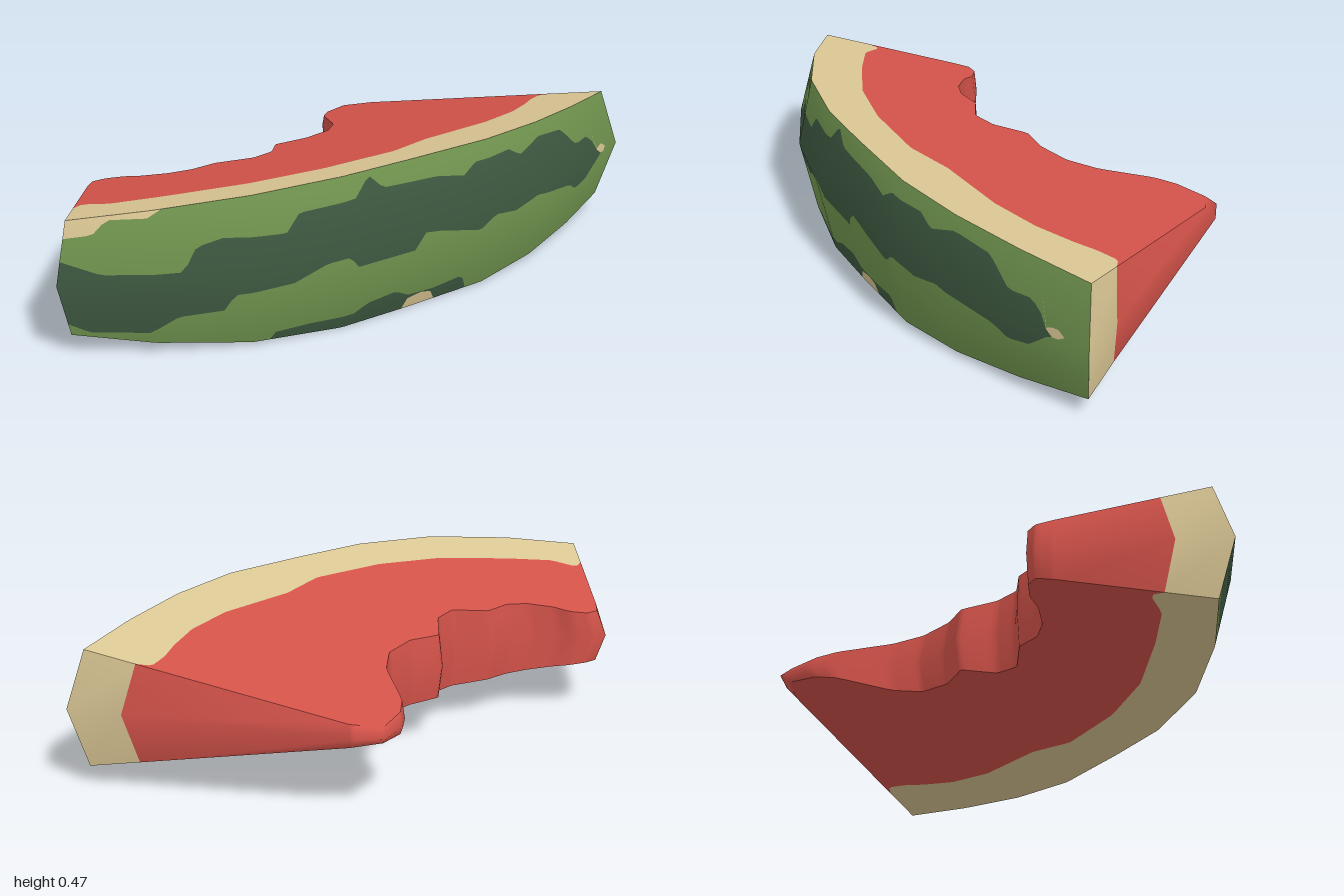
import * as THREE from 'three';
import { mergeVertices } from 'three/addons/utils/BufferGeometryUtils.js';

const MID = 0.235;   // height of the symmetry plane
const COLS = 110;
const halfHeight = (z) => 0.02 + (z + 0.5) * 0.2228;   // wedge thins toward the back

const material = (name, color) => {
  const m = new THREE.MeshStandardMaterial({ color });
  m.name = name;
  return m;
};

// Piecewise-linear lookup in a list of [x, value]
function lookup(list, x) {
  if (x <= list[0][0]) return list[0][1];
  for (let i = 1; i < list.length; i++) {
    const [x0, v0] = list[i - 1], [x1, v1] = list[i];
    if (x <= x1) return v0 + (v1 - v0) * (x - x0) / (x1 - x0);
  }
  return list[list.length - 1][1];
}

// Resample an [x, z] outline evenly in x
function sample(list) {
  const a = list[0][0], b = list[list.length - 1][0];
  return Array.from({ length: COLS + 1 }, (_, i) => {
    const x = a + (b - a) * i / COLS;
    return [x, lookup(list, x)];
  });
}

const mix = (p, q, t) => [p[0] + (q[0] - p[0]) * t, p[1] + (q[1] - p[1]) * t];
// Lift an [x, z] point: side 1 = upper face, 0 = mid plane, -1 = lower face
const lift = (side) => ([x, z]) => [x, MID + side * halfHeight(z), z];

// Surface through successive rows of 3D points
function sheet(rows) {
  const pos = [];
  for (let r = 0; r + 1 < rows.length; r++) {
    const A = rows[r], B = rows[r + 1];
    for (let i = 0; i + 1 < A.length; i++) {
      pos.push(...A[i], ...A[i + 1], ...B[i + 1], ...A[i], ...B[i + 1], ...B[i]);
    }
  }
  const g = new THREE.BufferGeometry();
  g.setAttribute('position', new THREE.Float32BufferAttribute(pos, 3));
  const smooth = mergeVertices(g, 1e-5);
  smooth.computeVertexNormals();
  return smooth;
}

export function createModel() {
  const group = new THREE.Group();
  const flesh = material('red flesh', 0xd4534a);
  const pith = material('cream pith', 0xdbc795);
  const light = material('light green skin', 0x71954f);
  const dark = material('dark green skin', 0x3e5941);
  const add = (name, geometry, mat) => {
    const mesh = new THREE.Mesh(geometry, mat);
    mesh.name = name;
    group.add(mesh);
  };

  // Outlines seen from above, as [x, z]
  const rindMid = [[-1, 0.22], [-0.78, 0.36], [-0.52, 0.465], [-0.24, 0.513], [0, 0.51],
    [0.3, 0.497], [0.54, 0.44], [0.77, 0.35], [1, 0.24]];
  const rindEdge = [[-0.95, 0.19], [-0.75, 0.315], [-0.5, 0.42], [-0.23, 0.465], [0, 0.462],
    [0.29, 0.45], [0.52, 0.395], [0.74, 0.31], [0.95, 0.21]];
  const biteMid = [[-0.73, -0.19], [-0.695, -0.233], [-0.65, -0.233], [-0.6, -0.2], [-0.57, -0.155],
    [-0.5, -0.1], [-0.43, -0.077], [-0.34, -0.088], [-0.23, -0.035], [-0.15, -0.06], [-0.08, -0.15],
    [0.03, -0.14], [0.14, -0.175], [0.21, -0.25], [0.28, -0.415], [0.33, -0.468], [0.43, -0.515], [0.51, -0.46]];
  const biteEdge = biteMid.map((p) => mix(p, [0, 0.3], 0.035));
  const last = (list) => list[list.length - 1];
  const pithEnds = [0.33, 0.2];   // share of each cut end that is pith
  const seam = (rind, bite) => [mix(rind[0], bite[0], pithEnds[0]), mix(last(rind), last(bite), pithEnds[1])];
  const [seamL, seamR] = seam(rindEdge, biteEdge);
  const [seamMidL, seamMidR] = seam(rindMid, biteMid);
  const fleshLine = [seamL, [-0.83, 0.05], [-0.78, 0.12], [-0.64, 0.19], [-0.42, 0.28], [-0.2, 0.32],
    [0.05, 0.32], [0.2, 0.27], [0.45, 0.24], [0.6, 0.19], [0.7, 0.13], [0.76, 0.085], [0.82, 0.055], seamR];

  const rindM = sample(rindMid), rindE = sample(rindEdge);
  const biteM = sample(biteMid), biteE = sample(biteEdge), line = sample(fleshLine);

  // Upper and lower faces: pith band and flesh
  for (const [side, label] of [[1, 'upper'], [-1, 'lower']]) {
    const face = (outer, inner) => {
      const rows = [outer.map(lift(side)), inner.map(lift(side))];
      return sheet(side > 0 ? rows : rows.reverse());
    };
    add(label + 'PithFace', face(rindE, line), pith);
    add(label + 'FleshFace', face(line, biteE), flesh);
  }

  // Bitten back wall with the flesh part of both cut ends
  const wall = (edge, mid) => sheet([edge.map(lift(1)), mid.map(lift(0)), edge.map(lift(-1))]);
  add('bittenFleshWall', wall([seamL, ...biteE, seamR], [seamMidL, ...biteM, seamMidR]), flesh);
  add('rightPithEnd', wall([rindEdge[0], seamL], [rindMid[0], seamMidL]), pith);
  add('leftPithEnd', wall([seamR, last(rindEdge)], [seamMidR, last(rindMid)]), pith);

  // Skin markings: border heights as [x, y], from the bottom up
  const scarLow = [[-0.48, -1], [-0.03, -1], [-0.01, 0.03], [0.05, 0.04], [0.1, 0.03], [0.12, -1]];
  const patchTop = [[-0.48, -0.1], [-0.46, 0.03], [-0.35, 0.037], [-0.2, 0.037], [-0.15, 0.06], [-0.05, 0.07],
    [0, 0.045], [0.1, 0.04], [0.2, 0.05], [0.22, 0.04], [0.24, -0.1]];
  const stripeLow = [[-1, 0.1], [-0.95, 0.07], [-0.8, 0.07], [-0.72, 0.12], [-0.6, 0.13], [-0.57, 0.18],
    [-0.4, 0.19], [-0.3, 0.235], [-0.23, 0.24], [-0.2, 0.2], [0, 0.2], [0.03, 0.25], [0.1, 0.24], [0.25, 0.2],
    [0.3, 0.24], [0.4, 0.22], [0.5, 0.24], [0.6, 0.22], [0.7, 0.2], [0.75, 0.17], [0.82, 0.18], [0.88, 0.24]];
  const stripeTop = [[-1, 0.3], [-0.9, 0.265], [-0.7, 0.265], [-0.67, 0.33], [-0.6, 0.35], [-0.42, 0.34],
    [-0.38, 0.39], [-0.2, 0.4], [-0.15, 0.455], [-0.1, 0.41], [0.1, 0.4], [0.2, 0.38], [0.25, 0.41], [0.4, 0.41],
    [0.45, 0.38], [0.55, 0.41], [0.68, 0.39], [0.75, 0.32], [0.82, 0.32], [0.85, 0.3], [0.88, 0.24]];
  const spotLow = [[-1, 0.36], [-0.93, 0.37], [-0.9, 0.41], [-0.8, 0.415], [-0.75, 0.45], [-0.7, 0.6],
    [0.84, 0.6], [0.86, 0.25], [0.88, 0.24], [0.91, 0.24], [0.925, 0.25], [1, 0.25]];
  const spotTop = [[0.84, 0.6], [0.86, 0.25], [0.88, 0.265], [0.91, 0.265], [0.925, 0.25], [1, 0.25]];

  // Height border turned into -1..1 across the skin at every column
  const border = (list) => rindM.map(([x], i) =>
    THREE.MathUtils.clamp((lookup(list, x) - MID) / halfHeight(rindE[i][1]), -1, 1));
  const borders = [rindM.map(() => -1), ...[scarLow, patchTop, stripeLow, stripeTop, spotLow, spotTop].map(border),
    rindM.map(() => 1)];
  for (let b = 1; b < borders.length; b++) {
    borders[b] = borders[b].map((v, i) => Math.max(v, borders[b - 1][i]));
  }
  const skinRow = (ws) => ws.map((w, i) => {
    const [x, z] = mix(rindM[i], rindE[i], Math.abs(w));
    return [x, MID + w * halfHeight(rindE[i][1]), z];
  });
  const bands = [['skinScar', pith], ['lowerDarkPatch', dark], ['lowerSkin', light], ['darkStripe', dark],
    ['upperSkin', light], ['skinSpots', pith], ['upperSkinEdge', light]];
  bands.forEach(([name, mat], b) => {
    const lo = borders[b], hi = borders[b + 1];
    // Break each band at the ridge so that the skin keeps its fold
    const ridge = lo.map((v, i) => THREE.MathUtils.clamp(0, v, hi[i]));
    const g = sheet([lo, ridge, hi].map(skinRow));
    // Shared smooth normals across all bands
    const p = g.attributes.position, n = new THREE.Vector3();
    for (let i = 0; i < p.count; i++) {
      n.set(0.45 * p.getX(i), 1.3 * (p.getY(i) - MID), 0.9).normalize();
      g.attributes.normal.setXYZ(i, n.x, n.y, n.z);
    }
    add(name, g, mat);
  });
  return group;
}
